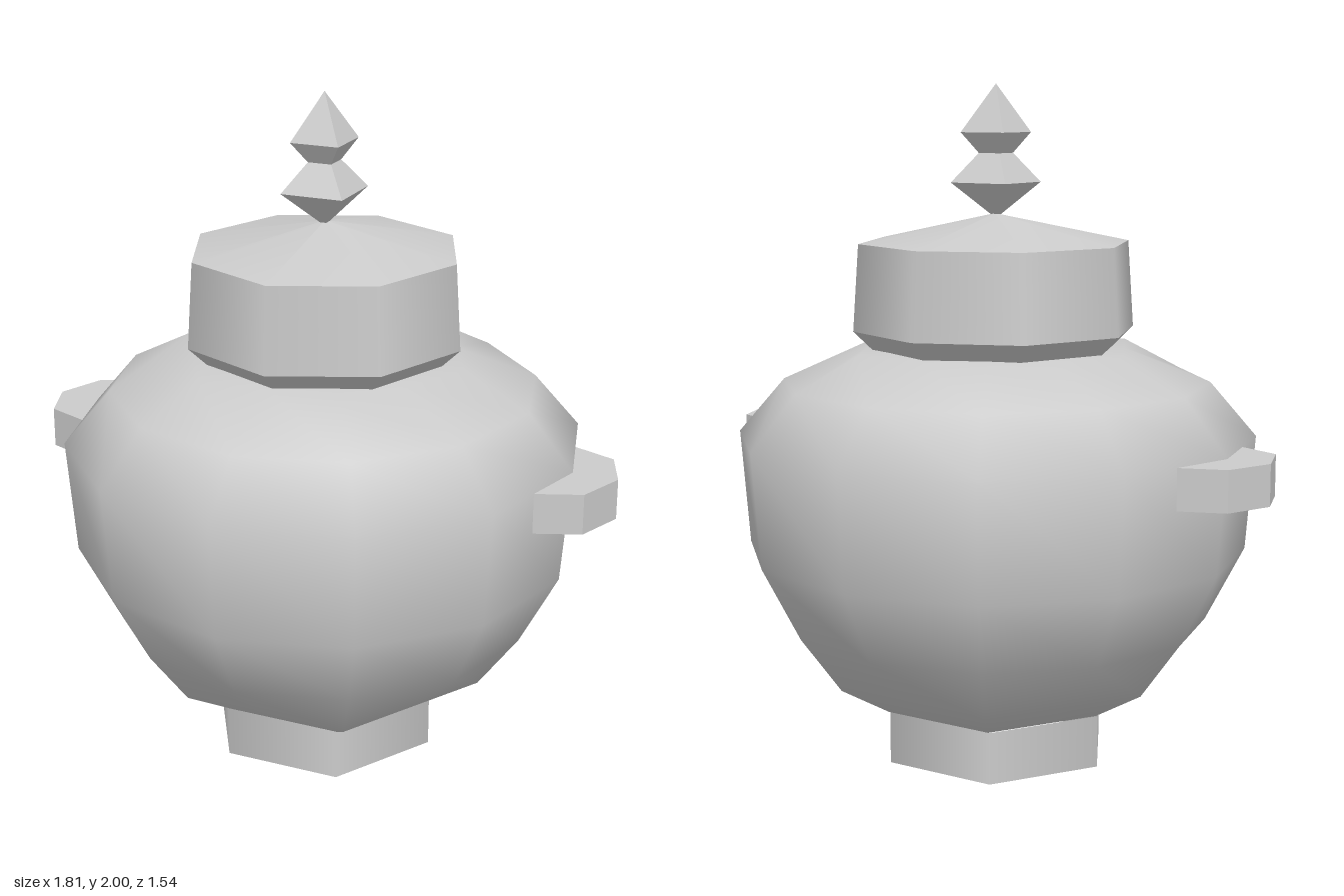
import * as THREE from 'three';
import { mergeVertices } from 'three/addons/utils/BufferGeometryUtils.js';

const grey = new THREE.MeshStandardMaterial({ color: 0xcccccc, side: THREE.DoubleSide });
const greyFlat = new THREE.MeshStandardMaterial({ color: 0xcccccc, flatShading: true, side: THREE.DoubleSide });

function part(name, geometry, material = grey) {
  const mesh = new THREE.Mesh(geometry, material);
  mesh.name = name;
  return mesh;
}

function lathe(profile, sides, start = 0) {
  return new THREE.LatheGeometry(profile.map(([r, y]) => new THREE.Vector2(r, y)), sides, start);
}

// Twelve-sided belly whose end rings flatten into hexagons
function bodyGeometry() {
  // radius, height, 1 = hexagonal ring
  const rings = [
    [0.355, 0.155, 1], [0.505, 0.24, 1], [0.63, 0.41, 0], [0.745, 0.63, 0],
    [0.772, 0.97, 0], [0.635, 1.13, 0], [0.44, 1.23, 1], [0, 1.24, 0],
  ];
  const geometry = lathe(rings, 12);
  const pos = geometry.attributes.position;
  for (let i = 0; i < pos.count; i++) {
    const segment = Math.floor(i / rings.length);
    if (rings[i % rings.length][2] && segment % 2 === 0) {
      const k = Math.cos(Math.PI / 6);
      pos.setX(i, pos.getX(i) * k);
      pos.setZ(i, pos.getZ(i) * k);
    }
  }
  geometry.deleteAttribute('normal');
  geometry.deleteAttribute('uv');
  const merged = mergeVertices(geometry, 1e-4);
  merged.computeVertexNormals();
  return merged;
}

// Slab lug that wraps around the corner of the belly
function handleGeometry(side) {
  const outline = [[0.72, -0.195], [0.85, -0.145], [0.905, 0], [0.85, 0.145], [0.72, 0.195], [0.74, 0]];
  const shape = new THREE.Shape(outline.map(([x, z]) => new THREE.Vector2(x, z)));
  const geometry = new THREE.ExtrudeGeometry(shape, { depth: 0.12, bevelEnabled: false });
  geometry.rotateX(-Math.PI / 2);
  if (side < 0) geometry.rotateY(Math.PI);
  geometry.translate(0, 0.85, 0);
  return geometry;
}

export function createModel() {
  const group = new THREE.Group();
  group.name = 'liddedJar';

  // Hollow hexagonal foot, closed above by the base of the belly
  group.add(part('foot', new THREE.CylinderGeometry(0.355, 0.355, 0.155, 6, 1, true, Math.PI / 6).translate(-0.005, 0.0775, 0)));
  group.add(part('bodyBase', new THREE.CircleGeometry(0.355, 6).rotateX(Math.PI / 2).translate(0, 0.155, 0)));
  group.add(part('body', bodyGeometry()));

  for (const side of [1, -1]) {
    group.add(part(side > 0 ? 'leftHandle' : 'rightHandle', handleGeometry(side), greyFlat));
  }

  // Octagonal lid, split at its sharp edges
  const lid = new THREE.Group();
  lid.name = 'lid';
  lid.add(part('lidLip', lathe([[0.345, 1.21], [0.422, 1.285]], 8)));
  lid.add(part('lidWall', lathe([[0.422, 1.285], [0.405, 1.54]], 8)));
  lid.add(part('lidRoof', lathe([[0.405, 1.54], [0, 1.625]], 8)));
  lid.position.z = -0.005;
  group.add(lid);

  // Square double-diamond finial (half-width, height)
  const finial = [[0, 1.61], [0.095, 1.715], [0.036, 1.8], [0.074, 1.86], [0, 2]];
  const corners = finial.map(([w, y]) => [w * Math.SQRT2, y]);
  const knob = lathe(corners, 4);
  knob.rotateY(Math.PI / 4);
  group.add(part('finial', knob, greyFlat));

  return group;
}
